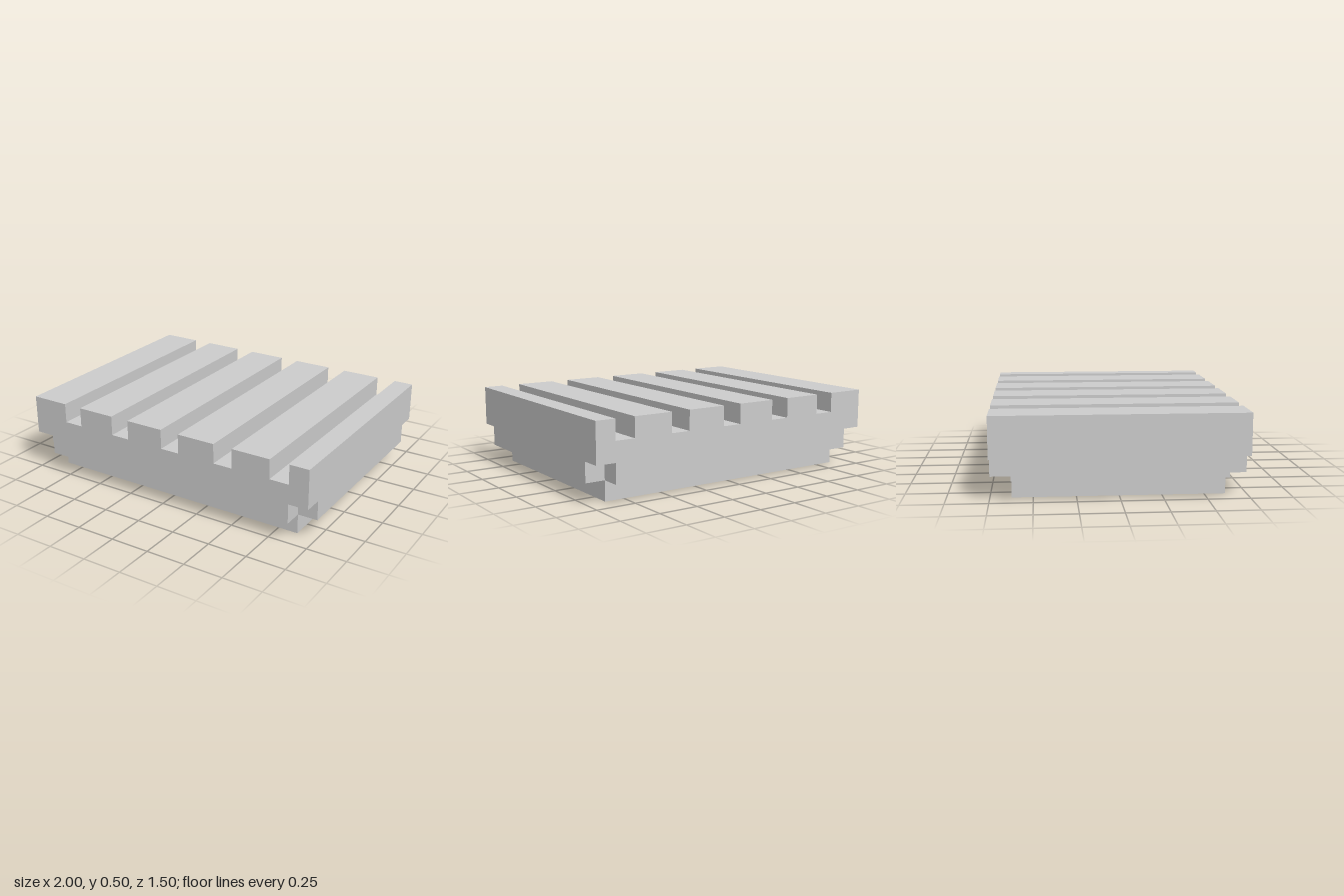
import * as THREE from 'three';

const U = 0.125; // the model sits on a grid of this step

function shapeOf(points) {
  return new THREE.Shape(points.map(([x, y]) => new THREE.Vector2(x * U, y * U)));
}

function extrude(points, depth) {
  return new THREE.ExtrudeGeometry(shapeOf(points), { depth: depth * U, bevelEnabled: false });
}

export function createModel() {
  const group = new THREE.Group();
  group.name = 'groovedPlate';
  const material = new THREE.MeshStandardMaterial({ color: 0xcccccc, flatShading: true });
  const add = (name, geometry) => {
    const mesh = new THREE.Mesh(geometry, material);
    mesh.name = name;
    group.add(mesh);
  };

  // Deck: profile with five grooves in its top, run from back to front
  const profile = [[-8, 2], [8, 2], [8, 4]];
  for (const x of [6, 3, 0, -3, -6]) {
    profile.push([x + 1, 4], [x + 1, 3], [x, 3], [x, 4]);
  }
  profile.push([-8, 4]);
  add('groovedDeck', extrude(profile, 12).translate(0, 0, -6 * U));

  // Middle layer: rectangle with a square notch at each corner
  const cross = [
    [-7, -6], [7, -6], [7, -5], [8, -5], [8, 5], [7, 5],
    [7, 6], [-7, 6], [-7, 5], [-8, 5], [-8, -5], [-7, -5],
  ];
  add('notchedLayer', extrude(cross, 1).rotateX(-Math.PI / 2).translate(0, U, 0));

  // Inset base
  add('base', new THREE.BoxGeometry(14 * U, U, 10 * U).translate(0, U / 2, 0));

  return group;
}
